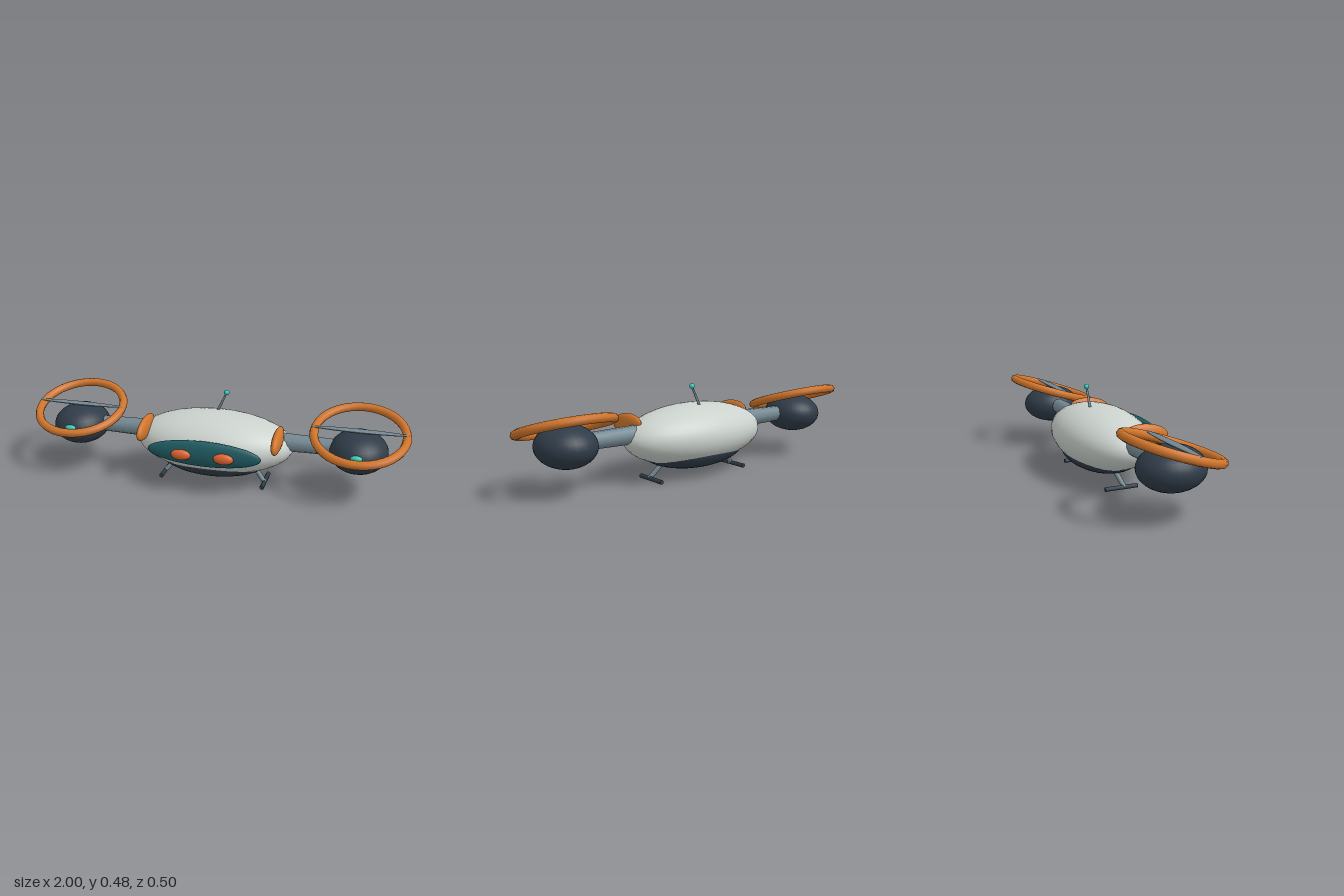
import * as THREE from 'three';

const mat = (name, color) => {
  const m = new THREE.MeshStandardMaterial({ color });
  m.name = name;
  return m;
};

export function createModel() {
  const shell = mat('pale shell', 0xcbd2cd);
  const dark = mat('dark slate', 0x2f3b48);
  const steel = mat('steel grey', 0x748892);
  const orange = mat('orange trim', 0xd0752b);
  const eyeColor = mat('lens orange', 0xdc6330);
  const visorColor = mat('deep teal', 0x1f5c63);
  const glow = mat('bright teal', 0x34cdb8);

  const model = new THREE.Group();
  model.name = 'drone';

  const add = (name, geometry, material) => {
    const mesh = new THREE.Mesh(geometry, material);
    mesh.name = name;
    model.add(mesh);
    return mesh;
  };

  // ellipsoid from centre and radii
  const ellipsoid = (name, material, centre, radii, w = 28, h = 18) => {
    const mesh = add(name, new THREE.SphereGeometry(1, w, h), material);
    mesh.position.set(...centre);
    mesh.scale.set(...radii);
    return mesh;
  };

  // tapered rod between two points
  const rod = (name, material, from, to, r0, r1, sides = 10) => {
    const a = new THREE.Vector3(...from), b = new THREE.Vector3(...to);
    const dir = b.clone().sub(a);
    const mesh = add(name, new THREE.CylinderGeometry(r1, r0, dir.length(), sides), material);
    mesh.position.copy(a).add(b).multiplyScalar(0.5);
    mesh.quaternion.setFromUnitVectors(new THREE.Vector3(0, 1, 0), dir.normalize());
    return mesh;
  };

  // hull, belly and face
  ellipsoid('body', shell, [0, 0.217, -0.02], [0.42, 0.158, 0.22], 32, 20);
  ellipsoid('belly', dark, [0, 0.14, -0.02], [0.306, 0.102, 0.184]);
  ellipsoid('visor', visorColor, [0, 0.23, 0.2], [0.295, 0.068, 0.03]);

  // antenna leaning to the left
  rod('antennaRod', steel, [-0.01, 0.34, -0.07], [0.05, 0.465, -0.07], 0.008, 0.005);
  ellipsoid('antennaTip', glow, [0.05, 0.468, -0.07], [0.014, 0.014, 0.014], 16, 12);

  for (const s of [1, -1]) {
    const side = s > 0 ? 'left' : 'right';
    const x = 0.748 * s;

    ellipsoid(side + 'Eye', eyeColor, [0.11 * s, 0.227, 0.231], [0.052, 0.028, 0.022], 20, 14);
    ellipsoid(side + 'Fairing', orange, [0.35 * s, 0.29, 0.075], [0.026, 0.053, 0.12], 20, 14)
      .rotation.x = 0.12;

    // arm and rotor pod
    rod(side + 'Arm', steel, [0.32 * s, 0.25, -0.012], [0.7 * s, 0.25, -0.012], 0.048, 0.04, 10);
    ellipsoid(side + 'Pod', dark, [x, 0.243, -0.01], [0.147, 0.105, 0.162]);
    ellipsoid(side + 'PodLight', glow, [x, 0.268, 0.14], [0.03, 0.015, 0.016], 16, 12);

    // guard ring tipped forward, with a slim blade across it
    const ring = add(side + 'GuardRing', new THREE.TorusGeometry(0.228, 0.022, 8, 40), orange);
    ring.position.set(x, 0.333, -0.009);
    ring.rotation.x = Math.PI / 2 + 0.3;
    ellipsoid(side + 'Blade', steel, [x, 0.353, -0.008], [0.246, 0.008, 0.022], 20, 10);

    // landing gear
    rod(side + 'Strut', steel, [0.2 * s, 0.1, -0.035], [0.275 * s, 0.012, -0.006], 0.014, 0.012);
    rod(side + 'Skid', dark, [0.275 * s, 0.0115, -0.11], [0.275 * s, 0.0115, 0.066], 0.0115, 0.0115);
  }

  return model;
}
